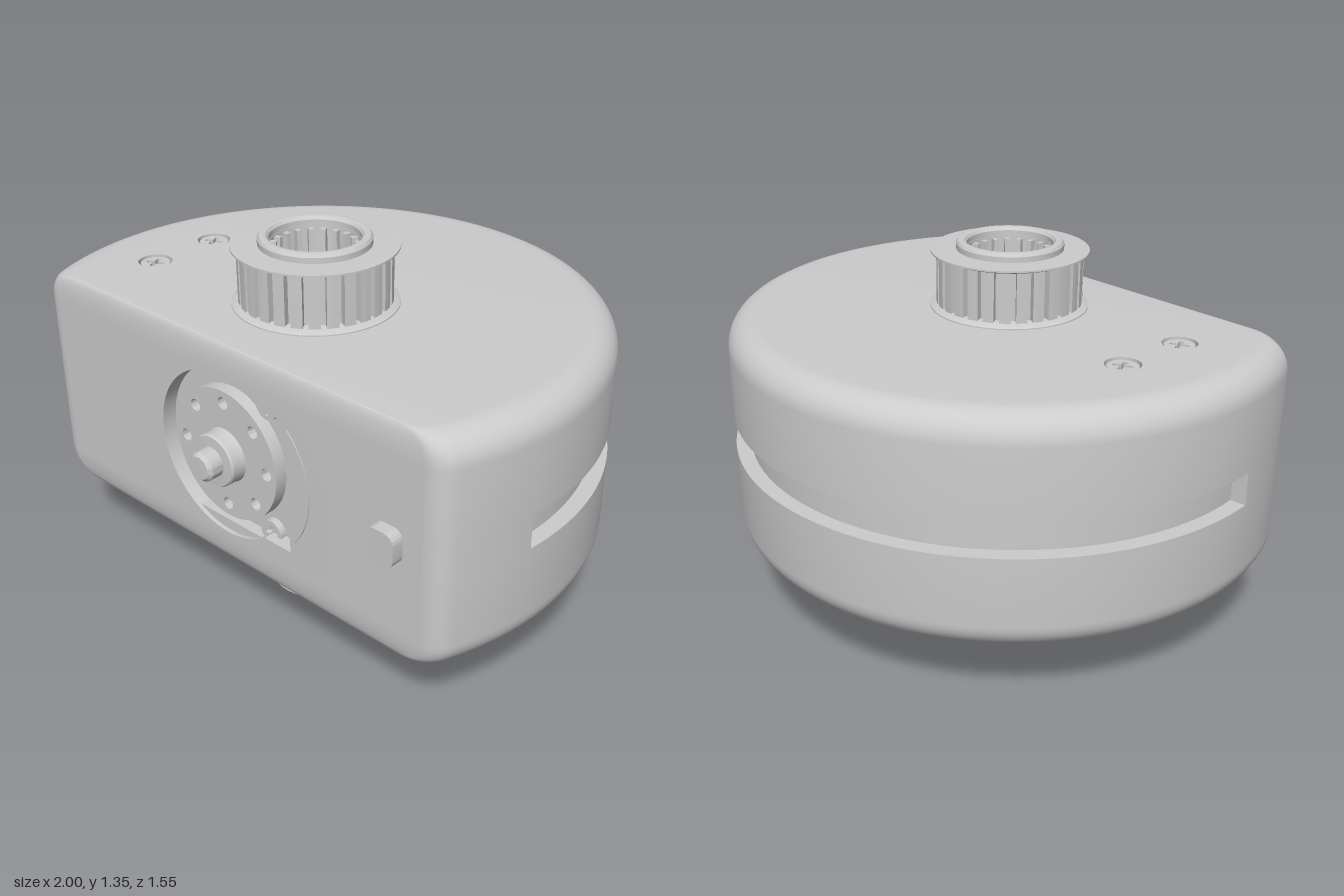
import * as THREE from 'three';
import { mergeGeometries, toCreasedNormals } from 'three/addons/utils/BufferGeometryUtils.js';

const grey = new THREE.MeshStandardMaterial({ color: 0xcccccc });
const open = new THREE.MeshStandardMaterial({ color: 0xcccccc, side: THREE.DoubleSide });
const CZ = 0.22, BOTTOM = 0.29, TOP = 1.105, FRONT = 0.667, FILLET = 0.1, MID = 0.7;
const V = (x, y) => new THREE.Vector2(x, y);

function add(parent, name, geometry, x = 0, y = 0, z = 0, material = grey) {
  const mesh = new THREE.Mesh(geometry, material);
  mesh.name = name;
  mesh.position.set(x, y, z);
  parent.add(mesh);
  return mesh;
}

const lathe = (pts, seg = 64) =>
  toCreasedNormals(new THREE.LatheGeometry(pts.map(p => V(...p)), seg), 0.6);
const extrude = (shape, depth) =>
  new THREE.ExtrudeGeometry(shape, { depth, bevelEnabled: false, curveSegments: 40 });
const circle = (x, y, r) => new THREE.Path().absarc(x, y, r, 0, Math.PI * 2, true);

// Plan outline of the housing: a big arc cut by a flat front with rounded corners
function outline(inset, groove = 0) {
  const R = 1 - inset, r = 0.09, F = FRONT - CZ - inset * 0.15, zc = F - r;
  const xc = Math.sqrt((R - r) ** 2 - zc * zc), a0 = Math.atan2(zc, xc), g = 0.125;
  const half = [];
  const arc = (cx, cz, rad, from, to, n) => {
    for (let i = 0; i <= n; i++) {
      const a = from + (to - from) * i / n;
      half.push([cx + rad * Math.cos(a), CZ + cz + rad * Math.sin(a)]);
    }
  };
  arc(xc, zc, r, Math.PI / 2, a0, 8);
  half.pop();
  arc(0, 0, R, a0, g, 5);
  arc(0, 0, R - groove, g, -Math.PI / 2, 36);
  const other = half.slice(0, -1).reverse().map(([x, z]) => [-x, z]);
  return half.concat(other);
}

// Side wall lofted upwards, with edge fillets and the groove round the back
function housingWall() {
  const layers = [];
  for (let k = 0; k <= 8; k++) {
    const a = k / 8 * Math.PI / 2;
    layers.push([BOTTOM + FILLET * (1 - Math.sin(a)), FILLET * (1 - Math.cos(a)), 0]);
  }
  layers.reverse();
  const lower = layers.map(l => [...l]).sort((p, q) => p[0] - q[0]);
  const upper = lower.map(([y, d]) => [BOTTOM + TOP - y, d, 0]).reverse();
  const all = [...lower, [0.637, 0, 0], [0.637, 0, 0.055], [0.757, 0, 0.055], [0.757, 0, 0], ...upper];
  const rings = all.map(([y, d, g]) => outline(d, g).map(([x, z]) => new THREE.Vector3(x, y, z)));
  const pos = [], n = rings[0].length;
  const tri = (a, b, c) => {
    const area = b.clone().sub(a).cross(c.clone().sub(a)).length();
    if (area > 1e-8) for (const p of [a, b, c]) pos.push(p.x, p.y, p.z);
  };
  for (let j = 0; j < rings.length - 1; j++) {
    const flatFront = all[j][1] < 1e-6 && all[j + 1][1] < 1e-6;
    for (let i = 0; i < n; i++) {
      if (i === n - 1 && flatFront) continue; // left for the front panel
      const k = (i + 1) % n;
      tri(rings[j][i], rings[j][k], rings[j + 1][k]);
      tri(rings[j][i], rings[j + 1][k], rings[j + 1][i]);
    }
  }
  return new THREE.BufferGeometry().setAttribute('position', new THREE.Float32BufferAttribute(pos, 3));
}

// Flat lid with round holes given as [x, z, radius]
function lid(holes, depth, top) {
  const s = top ? -1 : 1;
  const shape = new THREE.Shape(outline(FILLET).map(([x, z]) => V(x, s * z)));
  holes.forEach(([x, z, r]) => shape.holes.push(circle(x, s * z, r)));
  return extrude(shape, depth).rotateX(s * Math.PI / 2).translate(0, top ? TOP - depth : BOTTOM + depth, 0);
}

// Front panel with the dial pocket: a circle widened to a square edge on one side
function frontPanel() {
  const w = outline(0)[0][0], y0 = BOTTOM + FILLET, y1 = TOP - FILLET;
  const shape = new THREE.Shape([V(-w, y0), V(w, y0), V(w, y1), V(-w, y1)]);
  const hole = new THREE.Path().moveTo(0.3, MID - 0.24).lineTo(0.3, MID + 0.24).lineTo(0.18, MID + 0.24);
  const a = Math.atan2(0.24, 0.18);
  hole.absarc(0, MID, 0.3, a, Math.PI * 2 - a, false);
  shape.holes.push(hole);
  return extrude(shape, 0.06).translate(0, 0, FRONT - 0.06);
}

// Ring of square teeth
function teeth(n, rTip, rRoot, gap) {
  const pts = [];
  for (let i = 0; i < n; i++) {
    [[0, rTip], [0.5 * (1 - gap), rTip], [1 - gap, rTip], [1 - gap, rRoot], [1, rRoot]].forEach(([f, r]) => {
      const a = (i + f) / n * Math.PI * 2;
      pts.push(V(r * Math.cos(a), r * Math.sin(a)));
    });
  }
  return pts;
}

// Screw head with a cross slot, facing +z
function screw(parent, r) {
  const g = new THREE.Group();
  g.name = 'screw';
  const s = new THREE.Shape().absarc(0, 0, r, 0, Math.PI * 2, false);
  const w = r * 0.16, l = r * 0.65;
  s.holes.push(new THREE.Path([[w, w], [w, l], [-w, l], [-w, w], [-l, w], [-l, -w], [-w, -w],
    [-w, -l], [w, -l], [w, -w], [l, -w], [l, w]].map(p => V(...p))));
  add(g, 'screwHead', extrude(s, 0.03), 0, 0, -0.03);
  add(g, 'slotFloor', new THREE.CircleGeometry(r * 0.8, 24), 0, 0, -0.02);
  parent.add(g);
  return g;
}

export function createModel() {
  const model = new THREE.Group();
  const screws = [[-0.665, 0.08, 0.06], [-0.665, 0.36, 0.06]];
  const mounts = [[0, -0.585, 0.08], [0.77, 0.43, 0.08]];

  // Housing
  const parts = [housingWall(), lid(screws, 0.06, true), lid([...screws, ...mounts], 0.15, false), frontPanel()]
    .map(g => {
      const flat = g.index ? g.toNonIndexed() : g;
      flat.deleteAttribute('uv');
      flat.deleteAttribute('normal');
      return flat;
    });
  add(model, 'housing', toCreasedNormals(mergeGeometries(parts), 0.5));
  mounts.forEach(([x, z]) =>
    add(model, 'mountHoleFloor', new THREE.CircleGeometry(0.09, 32).rotateX(Math.PI / 2), x, BOTTOM + 0.149, z, open));

  // Screws on both lids
  for (const [x, z] of screws) for (const s of [1, -1]) {
    const g = screw(model, 0.052);
    g.rotation.set(-s * Math.PI / 2, 0, 0.4);
    g.position.set(x, s > 0 ? TOP - 0.006 : BOTTOM + 0.006, z);
    add(model, 'screwSeat', new THREE.CircleGeometry(0.065, 32).rotateX(Math.PI / 2),
      x, s > 0 ? TOP - 0.03 : BOTTOM + 0.03, z, open);
  }

  // Hollow shaft below
  add(model, 'shaft', lathe([[0, 0.24], [0.125, 0.24], [0.125, 0.03], [0.15, 0], [0.18, 0], [0.187, 0.007],
    [0.187, 0.225], [0.197, 0.225], [0.197, 0.3]]), 0, 0, CZ, open);

  // Toothed pulley on top
  const pulley = new THREE.Group();
  pulley.name = 'pulley';
  pulley.position.set(0, TOP, CZ);
  model.add(pulley);
  const gear = new THREE.Shape(teeth(28, 0.26, 0.232, 0.32));
  gear.holes.push(new THREE.Path(teeth(20, 0.152, 0.13, 0.4)));
  add(pulley, 'toothedDrum', extrude(gear, 0.2).rotateX(-Math.PI / 2));
  add(pulley, 'lowerFlange', lathe([[0, 0.01], [0.14, 0.01], [0.255, 0.018], [0.282, 0.004], [0.282, 0]].reverse()));
  add(pulley, 'upperFlange', lathe([[0.155, 0.19], [0.255, 0.19], [0.28, 0.2], [0.28, 0.206], [0.15, 0.208]]));
  add(pulley, 'topRing', lathe([[0.19, 0.2], [0.19, 0.227], [0.183, 0.237], [0.172, 0.24], [0.16, 0.237],
    [0.152, 0.227], [0.152, 0.19]]), 0, 0, 0, open);

  // Dial in the front pocket
  const dial = new THREE.Group();
  dial.name = 'dial';
  dial.position.set(0, MID, FRONT);
  model.add(dial);
  add(dial, 'pocketFloor', new THREE.PlaneGeometry(0.64, 0.605), 0, 0, -0.055);
  const plate = new THREE.Shape().absarc(0, 0, 0.235, 0, Math.PI * 2, false);
  for (let i = 0; i < 8; i++) {
    const a = i * Math.PI / 4;
    plate.holes.push(circle(0.19 * Math.cos(a), 0.19 * Math.sin(a), 0.022));
  }
  add(dial, 'dialPlate', toCreasedNormals(extrude(plate, 0.045), 0.5), 0, 0, -0.055);
  add(dial, 'dialHub', lathe([[0.1, -0.02], [0.093, 0], [0.093, 0.038], [0.088, 0.045], [0.052, 0.047],
    [0.052, 0.092], [0.04, 0.104], [0, 0.105]], 40).rotateX(Math.PI / 2));
  for (const s of [1, -1]) screw(dial, 0.045).position.set(0.18, s * 0.235, -0.03);

  // Curved lip beside the pocket
  const lipAngle = Math.acos(0.217 / 0.305);
  const lip = new THREE.Shape().absarc(0.085, 0, 0.305, -lipAngle, lipAngle, false);
  add(dial, 'pocketLip', extrude(lip, 0.01), 0, 0, -0.006);

  // Small push button
  const b = 0.035, w = 0.055, h = 0.06, key = new THREE.Shape();
  [[w, h, 0], [-w, h, 1], [-w, -h, 2], [w, -h, 3]].forEach(([x, y, q]) =>
    key.absarc(x - Math.sign(x) * b, y - Math.sign(y) * b, b, q * Math.PI / 2, (q + 1) * Math.PI / 2, false));
  add(model, 'button', toCreasedNormals(extrude(key, 0.07), 0.5), 0.71, MID, FRONT - 0.025);

  return model;
}
